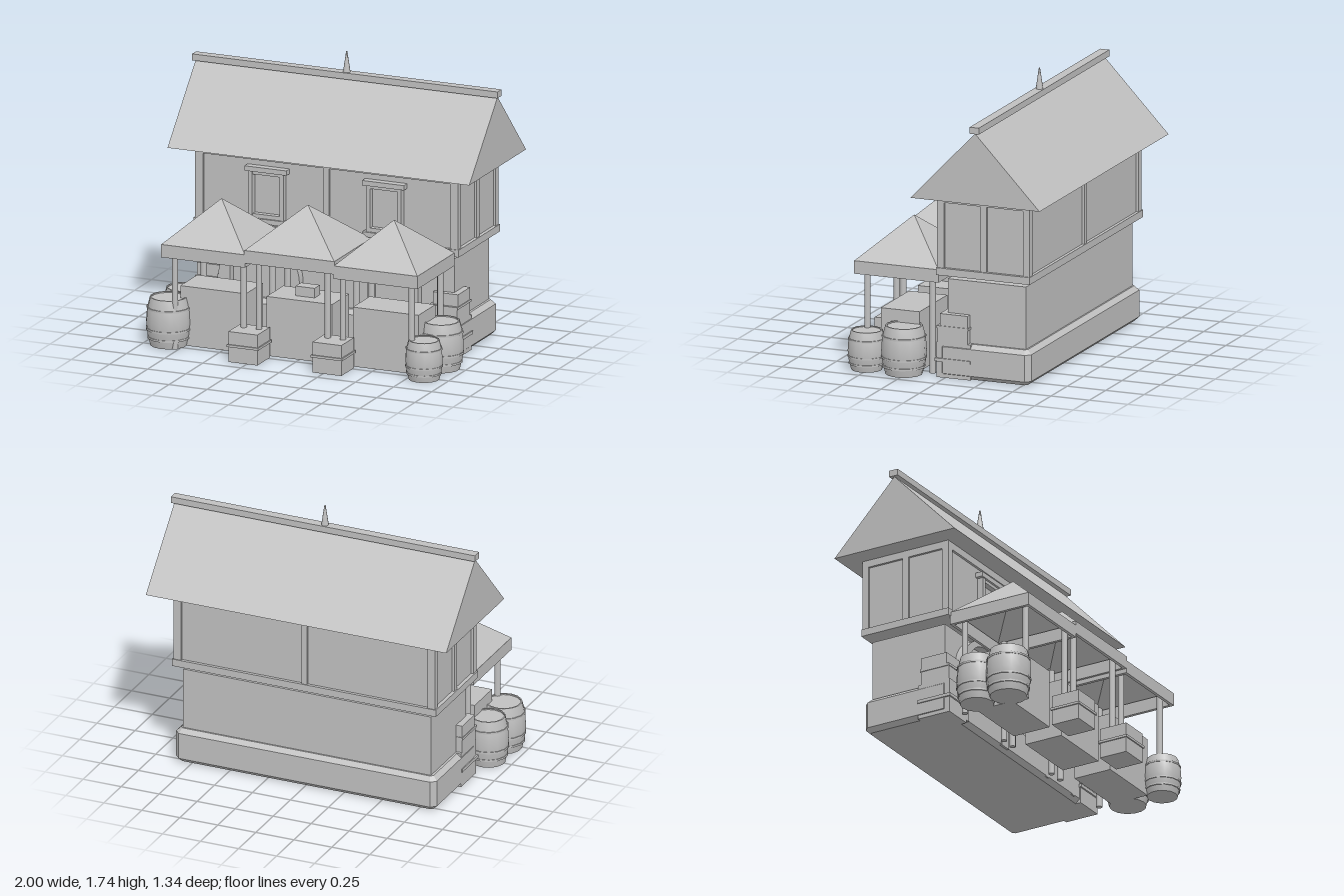
import * as THREE from 'three';
import { toCreasedNormals } from 'three/addons/utils/BufferGeometryUtils.js';

export function createModel() {
  const root = new THREE.Group();
  root.name = 'marketHouse';
  const grey = new THREE.MeshStandardMaterial({ color: 0xc0c0c0 });
  grey.name = 'plain grey';
  const greySheet = new THREE.MeshStandardMaterial({ color: 0xc0c0c0, side: THREE.DoubleSide });
  greySheet.name = 'plain grey sheet';

  const add = (name, geo, parent = root, mat = grey) => {
    const m = new THREE.Mesh(geo, mat);
    m.name = name;
    parent.add(m);
    return m;
  };
  // box given by its limits on each axis
  const box = (name, x0, x1, y0, y1, z0, z1, parent = root) => {
    const m = add(name, new THREE.BoxGeometry(x1 - x0, y1 - y0, z1 - z0), parent);
    m.position.set((x0 + x1) / 2, (y0 + y1) / 2, (z0 + z1) / 2);
    return m;
  };
  const group = (name) => {
    const g = new THREE.Group();
    g.name = name;
    root.add(g);
    return g;
  };
  // box and its mirror image across x = 0
  const pair = (name, x0, x1, ...rest) => {
    box(name, x0, x1, ...rest);
    box(name, -x1, -x0, ...rest);
  };

  // Plinth: chamfered rectangle, bevelled above and below
  const X = 0.83, ZF = -0.02, ZB = 0.52, c = 0.015;
  const plan = new THREE.Shape([
    [-X + c, ZF], [X - c, ZF], [X, ZF + c], [X, ZB - c],
    [X - c, ZB], [-X + c, ZB], [-X, ZB - c], [-X, ZF + c],
  ].map((p) => new THREE.Vector2(...p)));
  const plinth = new THREE.ExtrudeGeometry(plan, {
    depth: 0.165, bevelEnabled: true, bevelSize: 0.028, bevelThickness: 0.027, bevelSegments: 1,
  });
  plinth.rotateX(-Math.PI / 2).translate(0, 0.027, 0);
  add('plinth', plinth);

  // Ground floor with corner stones
  box('groundFloor', -0.815, 0.815, 0.02, 0.605, -0.51, 0.0);
  pair('cornerStoneLow', 0.66, 0.855, 0, 0.1, -0.165, 0.055);
  pair('cornerJoint', 0.65, 0.865, 0.1, 0.12, -0.165, 0.065);
  pair('cornerStoneMiddle', 0.66, 0.855, 0.12, 0.22, -0.165, 0.055);
  pair('cornerStoneUpper', 0.68, 0.855, 0.22, 0.305, -0.145, 0.05);
  pair('cornerJointUpper', 0.675, 0.86, 0.305, 0.32, -0.15, 0.055);
  pair('cornerStoneTop', 0.69, 0.855, 0.32, 0.395, -0.145, 0.035);

  // Arched doorway surround
  const arch = new THREE.Shape();
  arch.moveTo(-0.27, 0.02);
  arch.lineTo(-0.27, 0.345);
  arch.absarc(0, 0.345, 0.265, Math.PI, 0, true);
  arch.lineTo(0.27, 0.02);
  arch.lineTo(0.19, 0.02);
  arch.lineTo(0.19, 0.385);
  arch.absarc(0, 0.385, 0.19, 0, Math.PI, false);
  arch.lineTo(-0.19, 0.02);
  const archGeo = new THREE.ExtrudeGeometry(arch, { depth: 0.07, bevelEnabled: false, curveSegments: 16 });
  add('archSurround', archGeo).position.set(-0.44, 0, -0.015);

  // Square doorway frame
  box('doorPost', 0.27, 0.3, 0.02, 0.565, -0.01, 0.05);
  box('doorPost', 0.57, 0.6, 0.02, 0.565, -0.01, 0.05);
  box('doorLintel', 0.27, 0.6, 0.565, 0.6, -0.01, 0.05);

  // Upper floor and its timber frame
  box('upperWall', -0.845, 0.845, 0.64, 1.13, -0.535, 0.035);
  box('sillBeam', -0.868, 0.868, 0.635, 0.68, -0.555, 0.055);
  box('topBeam', -0.86, 0.86, 1.085, 1.13, -0.55, 0.05);
  for (const [z0, z1] of [[0.005, 0.05], [-0.55, -0.51], [-0.27, -0.23]]) {
    pair('sidePost', z0 === -0.27 ? 0.83 : 0.81, 0.86, 0.68, 1.085, z0, z1);
  }
  box('frontMiddlePost', -0.018, 0.018, 0.68, 1.085, 0.03, 0.05);
  box('backMiddlePost', -0.018, 0.018, 0.68, 1.085, -0.55, -0.53);

  // Upper windows
  for (const x of [-0.385, 0.385]) {
    const w = group('window');
    box('lintel', -0.137, 0.137, 1.02, 1.05, 0.03, 0.083, w);
    for (const s of [-1, 1]) {
      const a = s * 0.115, b = s * 0.09;
      box('jamb', Math.min(a, b), Math.max(a, b), 0.73, 1.02, 0.03, 0.075, w);
    }
    box('topRail', -0.09, 0.09, 1.0, 1.02, 0.03, 0.07, w);
    box('bottomRail', -0.09, 0.09, 0.73, 0.755, 0.03, 0.07, w);
    box('sill', -0.137, 0.137, 0.7, 0.73, 0.03, 0.083, w);
    w.position.x = x;
  }

  // Gabled roof, ridge beam and finial
  const gable = new THREE.Shape([
    new THREE.Vector2(-0.42, 1.13), new THREE.Vector2(0.42, 1.13), new THREE.Vector2(0, 1.57),
  ]);
  const roof = new THREE.ExtrudeGeometry(gable, { depth: 1.976, bevelEnabled: false });
  roof.translate(0, 0, -0.988).rotateY(Math.PI / 2).translate(0, 0, -0.25);
  add('roof', roof);
  box('ridgeBeam', -1, 1, 1.57, 1.61, -0.28, -0.22);
  add('finial', new THREE.CylinderGeometry(0.004, 0.024, 0.13, 8)).position.set(0, 1.673, -0.25);

  // Three stalls, each with a hollow pyramid canopy and a counter
  for (const [x, w, y] of [[-0.565, 0.55, 0.58], [0, 0.59, 0.607], [0.565, 0.55, 0.58]]) {
    const g = group('stall');
    const h = w / 2;
    const pyramid = new THREE.ConeGeometry(Math.SQRT1_2, 0.248, 4, 1, true).toNonIndexed();
    pyramid.rotateY(Math.PI / 4).scale(w, 1, 0.55);
    pyramid.computeVertexNormals();
    add('canopyRoof', pyramid, g, greySheet).position.set(0, y + 0.203, 0.325);
    box('frontFascia', -h, h, y, y + 0.08, 0.58, 0.6, g);
    box('backFascia', -h, h, y, y + 0.08, 0.05, 0.07, g);
    box('rightFascia', -h, -h + 0.02, y, y + 0.08, 0.07, 0.58, g);
    box('leftFascia', h - 0.02, h, y, y + 0.08, 0.07, 0.58, g);
    box('counter', -0.215, 0.215, 0, 0.37, 0.2, 0.45, g);
    g.position.x = x;
  }
  box('smallChest', -0.062, 0.062, 0.37, 0.43, 0.285, 0.365);

  // Canopy posts
  for (const x of [0.225, 0.325, 0.775]) {
    for (const s of [-1, 1]) {
      for (const z of [0.115, 0.54]) {
        const top = x < 0.3 ? 0.68 : 0.65;
        add('post', new THREE.CylinderGeometry(0.019, 0.019, top, 10)).position.set(s * x, top / 2, z);
      }
    }
  }

  // Pedestals under the front posts
  pair('pedestal', 0.18, 0.37, 0, 0.19, 0.48, 0.665);
  pair('pedestalBand', 0.172, 0.378, 0.095, 0.11, 0.472, 0.673);

  // Barrels with hoops
  const barrel = (x, z, r, h) => {
    const g = group('barrel');
    const e = r * 0.82;
    const pts = [
      [0, 0], [e, 0], [r * 0.95, h * 0.25], [r, h * 0.48], [r * 0.96, h * 0.75],
      [e, h], [e * 0.92, h], [e * 0.92, h * 0.975], [0, h * 0.975],
    ].map((p) => new THREE.Vector2(...p));
    add('staves', toCreasedNormals(new THREE.LatheGeometry(pts, 14), 0.6), g);
    for (const [t, k] of [[0.17, 0.925], [0.35, 0.985], [0.78, 0.955]]) {
      const hoop = new THREE.CylinderGeometry(r * k + 0.003, r * k + 0.003, h * 0.04, 14);
      add('hoop', hoop, g).position.y = h * t;
    }
    g.position.set(x, 0, z);
  };
  barrel(-0.85, 0.465, 0.137, 0.3);
  barrel(-0.85, 0.245, 0.125, 0.3);
  barrel(0.85, 0.27, 0.137, 0.3);
  barrel(0.845, 0.515, 0.114, 0.245);

  return root;
}
